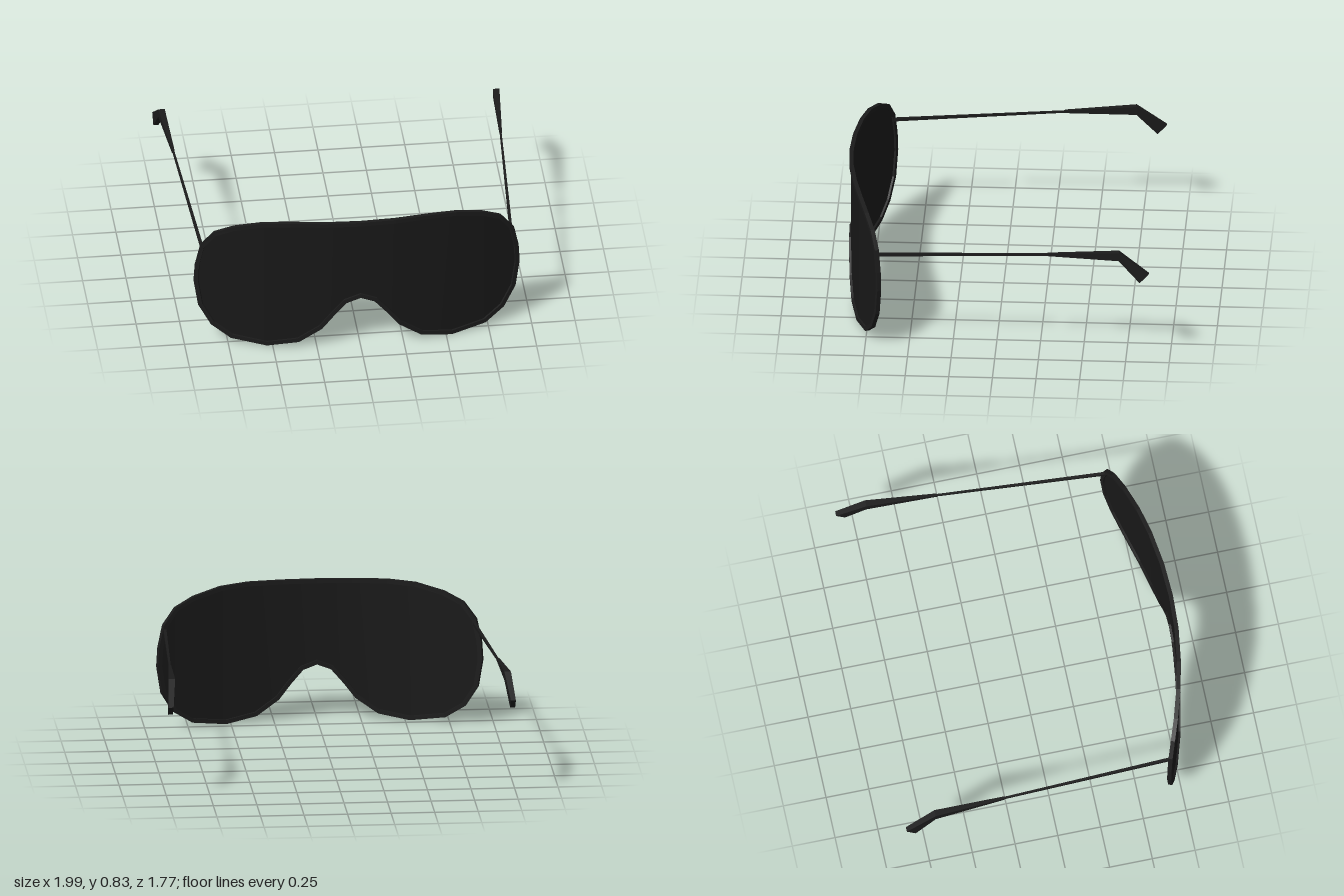
import * as THREE from 'three';

const CURVE = 0.237; // wrap of the front
const bend = (x) => 0.872 - CURVE * x * x;

// Half of the outer outline, clockwise from top centre to nose bridge
const HALF = [
  [0, 0.835], [0.2, 0.835], [0.4, 0.835], [0.56, 0.822], [0.72, 0.78], [0.83, 0.725],
  [0.9, 0.63], [0.928, 0.5], [0.935, 0.39], [0.91, 0.23], [0.84, 0.11], [0.73, 0.035],
  [0.53, 0.006], [0.35, 0.04], [0.22, 0.13], [0.15, 0.22], [0.08, 0.3], [0, 0.33],
];
const SIDE = 8; // index of the widest point
const OUTLINE = [...HALF, ...HALF.slice(1, -1).reverse().map(([x, y]) => [-x, y])];

// Outline moved inwards by d, with mitred corners
function inset(d) {
  const n = OUTLINE.length;
  return OUTLINE.map(([x, y], i) => {
    const p = new THREE.Vector2(x, y);
    const a = p.clone().sub(new THREE.Vector2(...OUTLINE[(i + n - 1) % n])).normalize();
    const b = new THREE.Vector2(...OUTLINE[(i + 1) % n]).sub(p).normalize();
    const t = a.clone().add(b).normalize();
    const m = d / t.dot(a);
    return [x + t.y * m, y - t.x * m];
  });
}

// Skin over a row of four-cornered rings, either closed or capped
function loft(rings, closed) {
  const pos = [];
  const quad = (a, b, c, d) => pos.push(...a, ...b, ...c, ...a, ...c, ...d);
  const n = rings.length;
  for (let i = 0; i < (closed ? n : n - 1); i++) {
    const a = rings[i], b = rings[(i + 1) % n];
    for (let j = 0; j < 4; j++) {
      const k = (j + 1) % 4;
      quad(a[j], a[k], b[k], b[j]);
    }
  }
  if (!closed) {
    quad(...[...rings[0]].reverse());
    quad(...rings[n - 1]);
  }
  const g = new THREE.BufferGeometry();
  g.setAttribute('position', new THREE.Float32BufferAttribute(pos, 3));
  g.computeVertexNormals();
  return g;
}

// Point on the wrapped front, pushed off along its normal
function onFront([x, y], off) {
  const l = Math.hypot(2 * CURVE * x, 1);
  return [x + (off * 2 * CURVE * x) / l, y, bend(x) + off / l];
}

function rimGeometry() {
  const inner = inset(0.024);
  const h = 0.012;
  return loft(OUTLINE.map((p, i) => [
    onFront(p, -h), onFront(p, h), onFront(inner[i], h), onFront(inner[i], -h),
  ]), true);
}

// Height of a polyline at x (points sorted by rising x)
function heightAt(line, x) {
  for (let i = 1; i < line.length; i++) {
    const [x0, y0] = line[i - 1], [x1, y1] = line[i];
    if (x <= x1 + 1e-9) return y0 + ((y1 - y0) * (x - x0)) / (x1 - x0);
  }
  return line[line.length - 1][1];
}

function lensGeometry() {
  const pts = inset(0.012).slice(0, HALF.length);
  const top = pts.slice(0, SIDE + 1);
  const bottom = pts.slice(SIDE).reverse();
  const half = [...new Set([...top, ...bottom].map((p) => +p[0].toFixed(4)))]
    .filter((x) => x > 0.001).sort((a, b) => a - b);
  const xs = [...half.map((x) => -x).reverse(), 0, ...half];
  const g = new THREE.PlaneGeometry(1, 1, xs.length - 1, 1);
  xs.forEach((x, i) => {
    const ax = Math.abs(x);
    g.attributes.position.setXYZ(i, x, heightAt(top, ax), bend(x));
    g.attributes.position.setXYZ(i + xs.length, x, heightAt(bottom, ax), bend(x));
  });
  g.computeVertexNormals();
  return g;
}

// Sections of an arm: inner x, outer x, top y, top z, bottom y, bottom z
const WIRE = [
  [0.88, 0.897, 0.607, 0.685, 0.589, 0.685],
  [0.937, 0.948, 0.654, -0.31, 0.643, -0.31],
];
const TIP = [
  [0.935, 0.95, 0.657, -0.3, 0.641, -0.3],
  [0.945, 0.983, 0.685, -0.71, 0.635, -0.71],
  [0.968, 0.997, 0.56, -0.882, 0.505, -0.83],
];

function armGeometry(sections, side) {
  return loft(sections.map(([xi, xo, yt, zt, yb, zb]) => {
    const ring = [
      [xi * side, yb, zb], [xi * side, yt, zt], [xo * side, yt, zt], [xo * side, yb, zb],
    ];
    return side < 0 ? ring.reverse() : ring;
  }), false);
}

export function createModel() {
  const model = new THREE.Group();
  model.name = 'shieldSunglasses';
  const frameMat = new THREE.MeshStandardMaterial({ color: 0x1b1b1b, flatShading: true });
  const lensMat = new THREE.MeshStandardMaterial({ color: 0x181818, side: THREE.DoubleSide });
  const add = (name, geometry, material) => {
    const mesh = new THREE.Mesh(geometry, material);
    mesh.name = name;
    model.add(mesh);
  };

  add('rim', rimGeometry(), frameMat);
  add('lens', lensGeometry(), lensMat);
  for (const [label, side] of [['left', 1], ['right', -1]]) {
    add(label + 'Temple', armGeometry(WIRE, side), frameMat);
    add(label + 'EarHook', armGeometry(TIP, side), frameMat);
  }
  return model;
}
